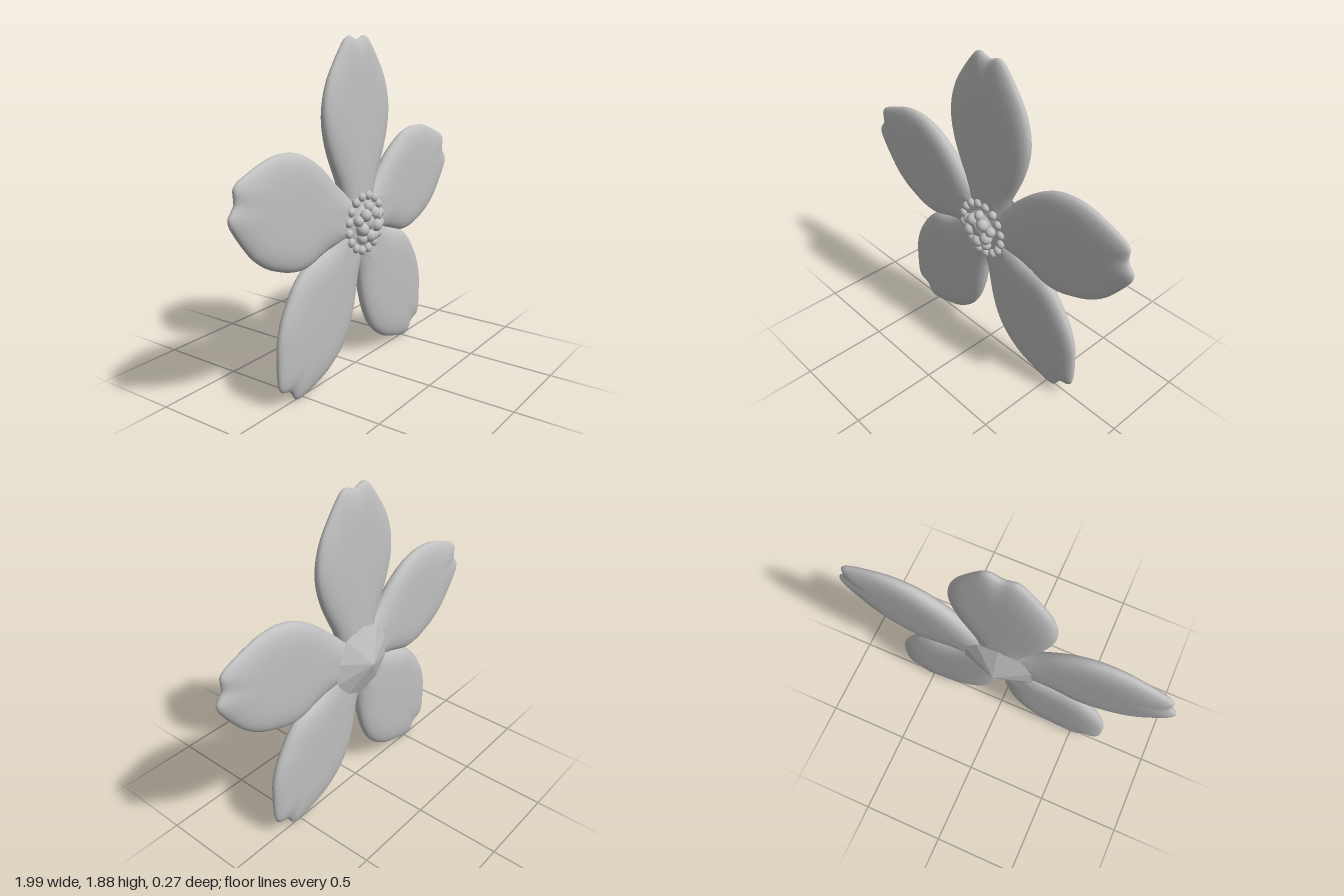
import * as THREE from 'three';

const CENTRE_Y = 0.865;

// Half outline of a petal, root to tip: [half width, distance from the flower's centre]
const HALF = [
  [0.09, 0.0], [0.125, 0.12], [0.168, 0.235], [0.2, 0.3], [0.247, 0.4], [0.28, 0.5], [0.295, 0.6],
  [0.285, 0.7], [0.25, 0.8], [0.2, 0.88], [0.13, 0.972], [0.1, 1.003], [0.068, 1.017], [0.035, 1.006],
];

// Pillow-shaped petal: rings shrink towards the middle while the surface rises
// swell widens one edge near the root (+1 right, -1 left, 0 none)
function petalGeometry(swell) {
  const edge = (side) => HALF.map(([w, u]) => {
    const extra = side === swell ? 0.03 * Math.exp(-(((u - 0.42) / 0.12) ** 2)) : 0;
    return new THREE.Vector3(side * (w + extra), u, 0);
  });
  const outline = new THREE.CatmullRomCurve3(
    [new THREE.Vector3(0, -0.03, 0), ...edge(1), new THREE.Vector3(0, 0.995, 0), ...edge(-1).reverse()],
    true, 'centripetal');
  const n = 180;
  const loop = outline.getSpacedPoints(n).slice(0, n);
  const scales = [0, 0.25, 0.45, 0.6, 0.7, 0.78, 0.85, 0.9, 0.94, 0.97, 0.99];
  const rings = [
    ...scales.map((s) => [s, 1]), [1, 0], ...scales.slice().reverse().map((s) => [s, -1]),
  ];
  const positions = [];
  const index = [];
  rings.forEach(([s, sign], j) => {
    for (let i = 0; i < n; i++) {
      const x = loop[i].x * s;
      const y = 0.55 + (loop[i].y - 0.55) * s;
      const thick = THREE.MathUtils.lerp(0.066, 0.044, Math.max(0, y));
      positions.push(x, y, 0.006 + sign * thick * Math.sqrt(1 - s ** 5));
      if (j < rings.length - 1) {
        const k = (i + 1) % n;
        const a = j * n + i, b = j * n + k, c = a + n, d = b + n;
        index.push(c, d, b, c, b, a);
      }
    }
  });
  const geometry = new THREE.BufferGeometry();
  geometry.setAttribute('position', new THREE.Float32BufferAttribute(positions, 3));
  geometry.setIndex(index);
  geometry.computeVertexNormals();
  return geometry;
}

export function createModel() {
  const model = new THREE.Group();
  model.name = 'flower';
  const flower = new THREE.Group();
  flower.name = 'blossom';
  flower.position.y = CENTRE_Y;
  model.add(flower);

  const grey = new THREE.MeshStandardMaterial({ color: 0xc0c0c0 });
  grey.name = 'light grey';

  const add = (name, geometry, parent = flower) => {
    const mesh = new THREE.Mesh(geometry, grey);
    mesh.name = name;
    parent.add(mesh);
    return mesh;
  };
  // Flattened ball
  const blob = (name, parent, x, y, z, r, depth, detail = 16) => {
    const mesh = add(name, new THREE.SphereGeometry(r, detail * 2, detail), parent);
    mesh.position.set(x, y, z);
    mesh.scale.z = depth / r;
  };
  // Evenly spaced beads around the centre
  const beadRing = (name, count, radius, start, z, r, depth) => {
    const ring = new THREE.Group();
    ring.name = name;
    flower.add(ring);
    for (let i = 0; i < count; i++) {
      const a = start + (i / count) * Math.PI * 2;
      blob('bead', ring, radius * Math.cos(a), radius * Math.sin(a), z, r, depth, 10);
    }
  };

  // Petals: name, direction in degrees, swollen edge
  const petals = [
    ['topPetal', 90, 0],
    ['leftPetal', 16.5, 1], ['rightPetal', 163.5, -1],
    ['lowerLeftPetal', -53, -1], ['lowerRightPetal', 233, 1],
  ];
  for (const [name, degrees, swell] of petals) {
    add(name, petalGeometry(swell)).rotation.z = THREE.MathUtils.degToRad(degrees - 90);
  }

  // Core joining the petals
  blob('core', flower, 0, 0, 0.004, 0.25, 0.062, 24);

  // Stamens and pistil on the front
  const front = 0.01;
  blob('centreDisc', flower, 0, front, 0.03, 0.175, 0.052, 20);
  blob('pistilCushion', flower, 0, front, 0.06, 0.105, 0.05);
  beadRing('outerStamens', 16, 0.155, Math.PI / 16, 0.066, 0.026, 0.022);
  beadRing('innerStamens', 5, 0.095, Math.PI / 2, 0.085, 0.03, 0.03);
  beadRing('pistilLobes', 5, 0.068, -Math.PI / 2, 0.096, 0.037, 0.037);
  blob('pistilTip', flower, 0, front, 0.09, 0.045, 0.03);

  // Faceted cone on the back
  const cone = add('calyx', new THREE.ConeGeometry(0.22, 0.085, 10).toNonIndexed());
  cone.geometry.computeVertexNormals();
  cone.rotation.x = -Math.PI / 2;
  cone.position.set(0, 0.01, -0.0925);

  return model;
}
